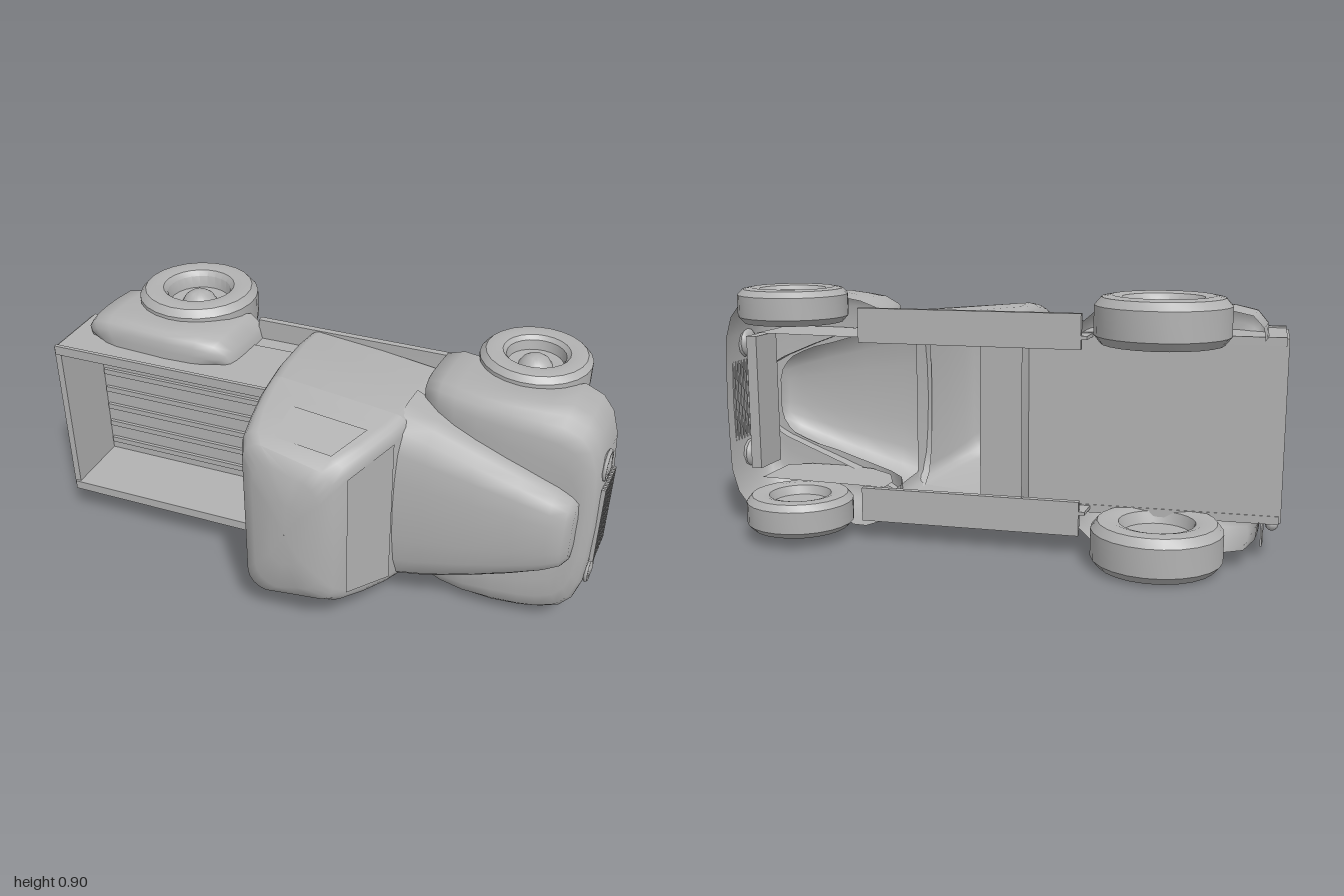
import * as THREE from 'three';
import { toCreasedNormals } from 'three/addons/utils/BufferGeometryUtils.js';

const grey = new THREE.MeshStandardMaterial({ color: 0xb2b2b2, side: THREE.DoubleSide });
grey.name = 'bodyGrey';

// Axes: x runs forward, z is the truck's height, y runs across its width
export function createModel() {
  const model = new THREE.Group();
  model.name = 'pickupTruck';
  const truck = new THREE.Group();
  truck.name = 'truck';
  truck.position.y = 0.452;
  model.add(truck);

  const add = (name, geo, x = 0, y = 0, z = 0, parent = truck) => {
    const m = new THREE.Mesh(geo, grey);
    m.name = name;
    m.position.set(x, y, z);
    parent.add(m);
    return m;
  };
  const box = (name, sx, sy, sz, x, y, z, parent) =>
    add(name, new THREE.BoxGeometry(sx, sy, sz), x, y, z, parent);

  // Skin over rows of [x, y, z] points
  const skin = (rows, closed = false, crease = 0.7) => {
    const n = rows[0].length, idx = [];
    for (let i = 0; i < rows.length - 1; i++)
      for (let j = 0; j < (closed ? n : n - 1); j++) {
        const a = i * n + j, b = i * n + (j + 1) % n;
        idx.push(a, b, a + n, b, b + n, a + n);
      }
    const g = new THREE.BufferGeometry();
    g.setAttribute('position', new THREE.Float32BufferAttribute(rows.flat(2), 3));
    g.setIndex(idx);
    return toCreasedNormals(g, crease);
  };

  // Fender skin: each row is outer x, y, inner x, y, top z, bottom z
  const arc = [[0.04, 0], [0, 0.3], [0, 0.6], [0.05, 0.8], [0.16, 0.92], [0.38, 0.98], [0.68, 1], [1, 1]];
  const fender = (rows) => skin(rows.map(([xo, yo, xi, yi, zt, zb]) =>
    arc.map(([a, b]) => [xo + (xi - xo) * a, yo + (yi - yo) * a, zb + (zt - zb) * b])), false, 1);
  const flip = (r) => [r[0], -r[1], r[2], -r[3], r[4], r[5]];

  // Front fenders joined around the nose
  const half = [
    [0.335, 0.34, 0.34, 0.29, -0.12, -0.24], [0.36, 0.385, 0.38, 0.28, -0.01, -0.25],
    [0.42, 0.408, 0.44, 0.27, 0.03, -0.25], [0.48, 0.415, 0.5, 0.26, 0.05, -0.23],
    [0.57, 0.418, 0.58, 0.24, 0.06, -0.13], [0.68, 0.418, 0.68, 0.21, 0.06, -0.11],
    [0.78, 0.416, 0.76, 0.19, 0.055, -0.15], [0.85, 0.412, 0.81, 0.17, 0.05, -0.22],
    [0.915, 0.385, 0.85, 0.15, 0.045, -0.22], [0.955, 0.335, 0.87, 0.13, 0.042, -0.22],
    [0.98, 0.25, 0.89, 0.1, 0.04, -0.22], [0.99, 0.13, 0.9, 0.06, 0.038, -0.21]];
  add('frontFenders', fender([...half, [0.993, 0, 0.9, 0, 0.038, -0.21], ...half.map(flip).reverse()]));

  // Rear fenders
  const rear = [
    [-0.94, 0.306, -0.87, 0.306, 0.06, -0.16], [-0.935, 0.35, -0.86, 0.306, 0.075, -0.17],
    [-0.9, 0.39, -0.83, 0.306, 0.09, -0.175], [-0.83, 0.405, -0.78, 0.306, 0.1, -0.175],
    [-0.72, 0.408, -0.7, 0.306, 0.1, -0.05], [-0.58, 0.408, -0.58, 0.306, 0.1, -0.03],
    [-0.46, 0.405, -0.48, 0.306, 0.09, -0.12], [-0.39, 0.39, -0.44, 0.306, 0.08, -0.21],
    [-0.345, 0.35, -0.41, 0.306, 0.065, -0.21], [-0.335, 0.306, -0.4, 0.306, 0.05, -0.21]];
  add('leftRearFender', fender(rear));
  add('rightRearFender', fender(rear.map(flip)));

  // Arched inner walls of the front wheel wells
  const well = [[0.37, -0.12], [0.42, -0.02], [0.52, 0.04], [0.66, 0.055], [0.78, 0.045], [0.86, 0]];
  for (const s of [1, -1])
    add('wheelWell', skin(well.map(([x, z]) => [[x, s * 0.27, z], [x, s * 0.27, -0.2]])));

  // Cab: rounded outlines [z, back x, front x, back half width, front half width, radius]
  const cab = [
    [-0.22, -0.15, 0.36, 0.375, 0.33, 0.04], [-0.1, -0.15, 0.365, 0.385, 0.34, 0.04],
    [0.05, -0.148, 0.37, 0.385, 0.345, 0.05], [0.13, -0.142, 0.37, 0.375, 0.342, 0.05],
    [0.2, -0.138, 0.35, 0.362, 0.33, 0.05], [0.3, -0.122, 0.31, 0.342, 0.31, 0.05],
    [0.39, -0.105, 0.27, 0.325, 0.29, 0.06], [0.43, -0.085, 0.24, 0.305, 0.27, 0.07],
    [0.455, -0.04, 0.195, 0.25, 0.225, 0.08], [0.467, 0.03, 0.13, 0.13, 0.12, 0.04],
    [0.468, 0.079, 0.081, 0.001, 0.001, 0]].map(([z, xb, xf, hb, hf, r]) => {
    const loop = [];
    [[1, 1], [-1, 1], [-1, -1], [1, -1]].forEach(([sx, sy], q) => {
      const cx = sx > 0 ? xf - r : xb + r, cy = sy * ((sx > 0 ? hf : hb) - r);
      for (let i = 0; i <= 4; i++) {
        const t = (q + i / 4) * Math.PI / 2;
        loop.push([cx + r * Math.cos(t), cy + r * Math.sin(t), z]);
      }
    });
    return loop;
  });
  // The lower part is open at the front, into the engine bay
  add('lowerCab', skin(cab.slice(0, 4), false, 0.8));
  add('upperCab', skin(cab.slice(3), true, 0.8));

  // Window panes
  add('windshield', skin([[[0.352, -0.28, 0.21], [0.352, 0.28, 0.21]], [[0.272, -0.235, 0.395], [0.272, 0.235, 0.395]]]));
  add('rearWindow', skin([[[-0.134, -0.17, 0.25], [-0.134, 0.17, 0.25]], [[-0.112, -0.15, 0.38], [-0.112, 0.15, 0.38]]]));
  for (const s of [1, -1])
    add('sideWindow', skin([
      [[0, s * 0.349, 0.24], [0.27, s * 0.33, 0.24]],
      [[0.005, s * 0.318, 0.385], [0.21, s * 0.301, 0.385]]]));

  // Tapered hood: [x, half width, top z, bottom z]
  const hood = [[0.335, 0.347, 0.2, -0.03], [0.45, 0.315, 0.192, -0.01], [0.6, 0.262, 0.175, 0.01],
    [0.75, 0.205, 0.155, 0.01], [0.86, 0.158, 0.138, 0], [0.91, 0.13, 0.122, 0], [0.93, 0.11, 0.09, 0], [0.935, 0.06, 0.04, 0.01]];
  const hoodArc = [[1, 0], [1, 0.4], [0.97, 0.65], [0.86, 0.83], [0.65, 0.93], [0.35, 0.98], [0, 1]];
  add('hood', skin(hood.map(([x, w, zt, zb]) => {
    const side = hoodArc.map(([a, b]) => [x, w * a, zb + (zt - zb) * b]);
    return [...side, ...side.slice(0, -1).reverse().map(([px, py, pz]) => [px, -py, pz])];
  }), false, 0.9));

  // Grille and headlights
  for (let i = 0; i < 8; i++) box('grilleBar', 0.014, 0.3, 0.01, 0.993, 0, -0.018 - i * 0.02);
  box('radiator', 0.04, 0.5, 0.15, 0.91, 0, -0.08);
  for (const s of [1, -1]) {
    const ring = add('headlightRing', new THREE.TorusGeometry(0.05, 0.007, 6, 10), 0.984, s * 0.215, -0.065);
    ring.rotation.y = Math.PI / 2;
    add('headlight', new THREE.SphereGeometry(0.052, 10, 6), 0.976, s * 0.215, -0.065).scale.x = 0.4;
  }

  // Cargo bed, tilted with its tail up
  const bed = new THREE.Group();
  bed.name = 'bed';
  bed.position.set(-0.57, -0.004, 0);
  bed.rotation.y = 0.07;
  truck.add(bed);
  box('bedFloor', 0.84, 0.61, 0.015, 0, 0, -0.1, bed);
  for (let i = 0; i < 7; i++) box('floorRib', 0.8, 0.022, 0.014, 0, -0.24 + i * 0.08, -0.087, bed);
  for (const s of [1, -1]) {
    box('bedSide', 0.85, 0.028, 0.28, 0, s * 0.3, 0.03, bed);
    box('bedRail', 0.85, 0.035, 0.014, 0, s * 0.303, 0.166, bed);
  }
  box('bedFrontWall', 0.015, 0.61, 0.27, 0.42, 0, 0.03, bed);
  box('tailgate', 0.015, 0.62, 0.27, -0.415, 0, 0.03, bed);
  // Tailgate frame leaving three recessed panels
  for (const z of [-0.09, 0.15]) box('tailgateTrim', 0.01, 0.62, 0.03, -0.427, 0, z, bed);
  for (const y of [-0.295, -0.1, 0.1, 0.295]) box('tailgateTrim', 0.01, 0.03, 0.27, -0.427, y, 0.03, bed);

  // Tail lamp and plate bracket on the right side
  box('plateBracket', 0.006, 0.09, 0.07, -0.945, -0.365, -0.01);
  add('tailLamp', new THREE.SphereGeometry(0.022, 8, 6), -0.975, -0.347, 0.02);

  // Running boards and sills
  for (const s of [1, -1]) {
    const board = box('runningBoard', 0.78, 0.12, 0.024, 0.04, s * 0.32, -0.226);
    board.rotation.y = 0.065;
    box('sill', 0.24, 0.012, 0.16, -0.25, s * 0.3, -0.13);
  }

  // Seat inside the cab
  box('seatBase', 0.19, 0.62, 0.14, -0.05, 0, -0.01);
  box('seatBack', 0.05, 0.6, 0.15, -0.1, 0, 0.13);

  // Wheels with dished rims and domed caps: [radius share, offset share]
  const tyre = [[0, -0.4], [0.52, -0.4], [0.58, -0.9], [0.7, -1], [0.9, -0.95], [1, -0.6], [1, 0.6], [0.9, 0.92],
    [0.75, 1], [0.6, 0.92], [0.53, 0.7], [0.5, 0.15], [0.3, 0.1], [0.24, 0.4], [0.14, 0.6], [0, 0.65]];
  const wheel = (name, x, y, z, r, hw) => {
    const g = new THREE.LatheGeometry(tyre.map(([a, b]) => new THREE.Vector2(a * r, b * hw)), 24);
    const m = add(name, toCreasedNormals(g, 0.6), x, y, z);
    if (y < 0) m.rotation.x = Math.PI;
  };
  wheel('leftFrontWheel', 0.66, 0.388, -0.285, 0.19, 0.062);
  wheel('rightFrontWheel', 0.66, -0.35, -0.285, 0.19, 0.064);
  wheel('leftRearWheel', -0.62, 0.371, -0.227, 0.22, 0.08);
  wheel('rightRearWheel', -0.62, -0.371, -0.227, 0.22, 0.08);

  return model;
}
